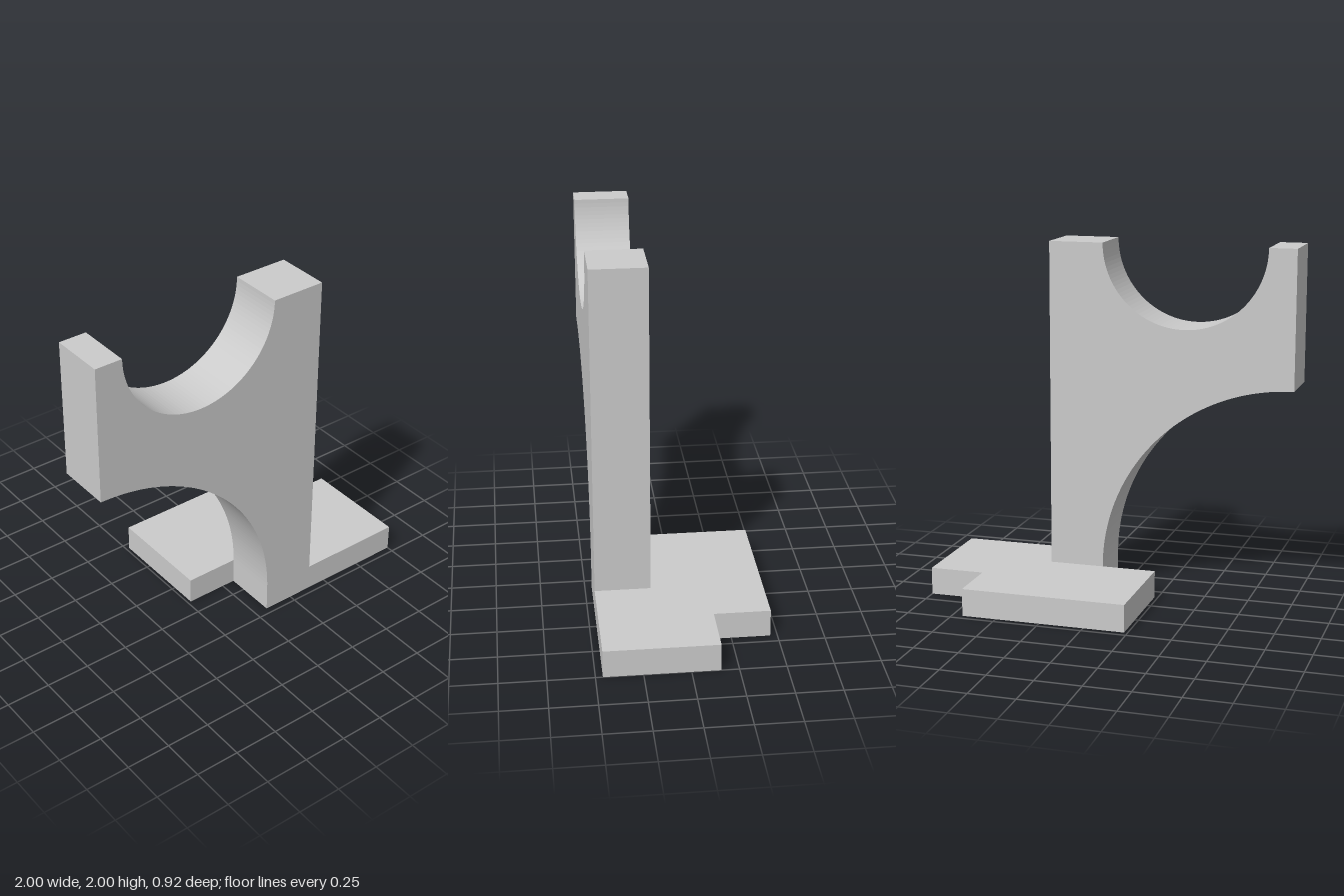
import * as THREE from 'three';

const U = 2 / 13; // design module: every dimension is a multiple of it
const material = new THREE.MeshStandardMaterial({ color: 0xcccccc });

function extrude(name, shape, depth) {
  const geometry = new THREE.ExtrudeGeometry(shape, { depth, bevelEnabled: false, curveSegments: 32 });
  const mesh = new THREE.Mesh(geometry, material);
  mesh.name = name;
  return mesh;
}

export function createModel() {
  const group = new THREE.Group();
  group.name = 'bearingBracket';

  // Stepped foot plate, drawn in plan (shape y = -z) and laid flat
  const plan = [[0.5, -3], [6.5, -3], [6.5, 1], [4.5, 1], [4.5, 3], [-1.5, 3], [-1.5, -1], [0.5, -1]];
  const plate = new THREE.Shape(plan.map(([x, y]) => new THREE.Vector2(x * U, y * U)));
  const base = extrude('basePlate', plate, U);
  base.rotation.x = -Math.PI / 2;
  group.add(base);

  // Upright with a quarter-round underside and a half-round cradle on top
  const profile = new THREE.Shape();
  profile.moveTo(0.5 * U, U);
  profile.lineTo(2.5 * U, U);
  profile.lineTo(2.5 * U, 13 * U);
  profile.lineTo(0.5 * U, 13 * U);
  profile.absarc(-2.5 * U, 13 * U, 3 * U, 0, -Math.PI, true);
  profile.lineTo(-6.5 * U, 13 * U);
  profile.lineTo(-6.5 * U, 8 * U);
  profile.absarc(-6.5 * U, U, 7 * U, Math.PI / 2, 0, true);
  const upright = extrude('cradleUpright', profile, 2 * U);
  upright.position.z = U;
  group.add(upright);

  return group;
}
